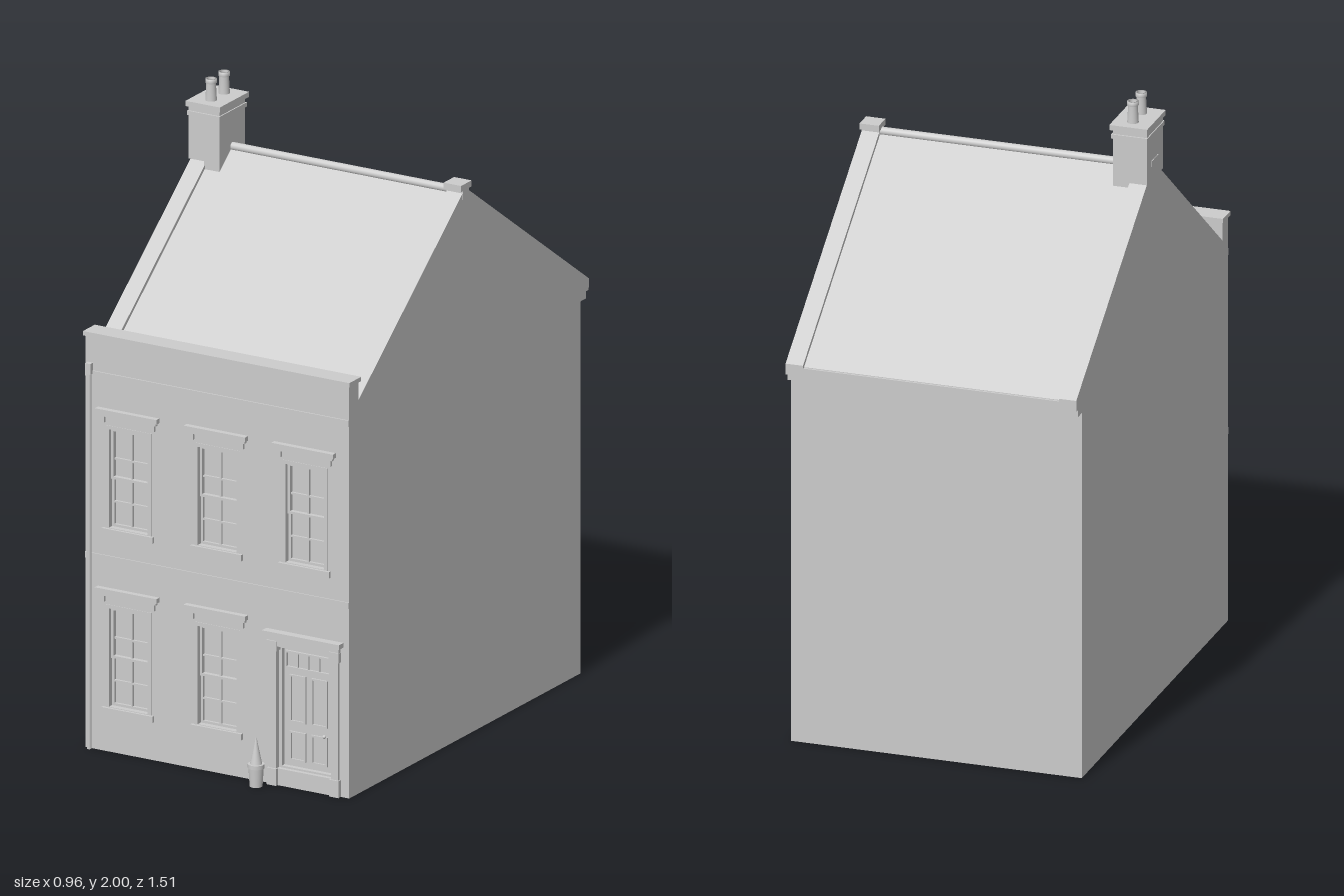
import * as THREE from 'three';

const stone = new THREE.MeshStandardMaterial({ color: 0xcccccc, side: THREE.DoubleSide });
stone.name = 'pale grey';

const HALF = 0.475, FRONT = 0.685, BACK = -0.70, RIDGE = -0.012;

function add(parent, name, geometry) {
  const mesh = new THREE.Mesh(geometry, stone);
  mesh.name = name;
  parent.add(mesh);
  return mesh;
}

// box given by its limits on each axis
function box(parent, name, x0, x1, y0, y1, z0, z1) {
  const g = new THREE.BoxGeometry(x1 - x0, y1 - y0, z1 - z0);
  g.translate((x0 + x1) / 2, (y0 + y1) / 2, (z0 + z1) / 2);
  return add(parent, name, g);
}

function rod(parent, name, r0, r1, x, y0, y1, z, sides = 24) {
  const g = new THREE.CylinderGeometry(r1, r0, y1 - y0, sides);
  g.translate(x, (y0 + y1) / 2, z);
  return add(parent, name, g);
}

const polygon = (pts) => new THREE.Shape(pts.map(([a, b]) => new THREE.Vector2(a, b)));
const rect = (x0, x1, y0, y1) => [[x0, y0], [x1, y0], [x1, y1], [x0, y1]];

// profile of [z, y] points extruded from x0 to x1
function profile(parent, name, pts, x0, x1) {
  const g = new THREE.ExtrudeGeometry(polygon(pts), { depth: x1 - x0, bevelEnabled: false });
  g.rotateY(-Math.PI / 2).translate(x1, 0, 0);
  return add(parent, name, g);
}

// flat ring around an opening
function ring(parent, name, x0, x1, y0, y1, t, z0, z1) {
  const s = polygon(rect(x0, x1, y0, y1));
  s.holes.push(polygon(rect(x0 + t, x1 - t, y0 + t, y1 - t)));
  const g = new THREE.ExtrudeGeometry(s, { depth: z1 - z0, bevelEnabled: false });
  return add(parent, name, g.translate(0, 0, z0));
}

// sash window: x is its centre, y its bottom
function sashWindow(parent, x, y) {
  const w = new THREE.Group();
  w.name = 'sashWindow';
  parent.add(w);
  const x0 = x - 0.082, x1 = x + 0.082, top = y + 0.345, mid = y + 0.168;
  ring(w, 'frame', x0, x1, y, top, 0.012, 0.655, FRONT + 0.002);
  box(w, 'glass', x0 + 0.01, x1 - 0.01, y + 0.01, top - 0.01, 0.655, 0.659);
  ring(w, 'upperSash', x0 + 0.012, x1 - 0.012, mid, top - 0.012, 0.008, 0.659, 0.674);
  ring(w, 'lowerSash', x0 + 0.012, x1 - 0.012, y + 0.012, mid + 0.008, 0.008, 0.659, 0.668);
  box(w, 'verticalBar', x - 0.003, x + 0.003, y + 0.015, top - 0.015, 0.659, 0.667);
  for (const h of [0.09, 0.23]) {
    box(w, 'crossBar', x0 + 0.015, x1 - 0.015, y + h, y + h + 0.006, 0.659, 0.667);
  }
  box(w, 'sill', x - 0.092, x + 0.092, y - 0.01, y + 0.01, 0.67, 0.696);
  box(w, 'hood', x - 0.111, x + 0.111, y + 0.385, y + 0.40, FRONT - 0.005, 0.704);
  box(w, 'hoodMoulding', x - 0.104, x + 0.104, y + 0.375, y + 0.385, FRONT - 0.005, 0.696);
  for (const s of [-1, 1]) {
    box(w, 'hoodBracket', x + s * 0.09 - 0.007, x + s * 0.09 + 0.007, y + 0.355, y + 0.375, FRONT - 0.005, 0.694);
  }
}

function frontDoor(parent) {
  const d = new THREE.Group();
  d.name = 'frontDoor';
  parent.add(d);
  const c = 0.3155;
  for (const s of [-1, 1]) {
    const p = c + s * 0.112;
    box(d, 'pilaster', p - 0.013, p + 0.013, 0.05, 0.44, 0.65, 0.694);
    box(d, 'pilasterBase', p - 0.017, p + 0.017, 0, 0.055, 0.65, 0.70);
    box(d, 'pilasterCapital', p - 0.018, p + 0.018, 0.44, 0.472, 0.65, 0.70);
  }
  box(d, 'lintel', c - 0.128, c + 0.128, 0.455, 0.485, 0.65, 0.696);
  box(d, 'hoodMoulding', c - 0.132, c + 0.132, 0.485, 0.492, FRONT - 0.005, 0.704);
  box(d, 'hood', c - 0.139, c + 0.139, 0.49, 0.505, FRONT - 0.005, 0.713);
  box(d, 'step', c - 0.1, c + 0.1, 0, 0.055, 0.65, 0.69);
  box(d, 'doorLeaf', c - 0.1, c + 0.1, 0.05, 0.46, 0.648, 0.66);
  ring(d, 'doorFrame', c - 0.1, c + 0.1, 0.05, 0.457, 0.011, 0.655, 0.676);
  // light above the door, with its bars
  ring(d, 'topLight', c - 0.083, c + 0.083, 0.38, 0.437, 0.006, 0.66, 0.668);
  for (let i = -1; i <= 1; i++) {
    box(d, 'topLightBar', c + i * 0.039 - 0.002, c + i * 0.039 + 0.002, 0.385, 0.432, 0.66, 0.666);
  }
  // raised panel mouldings
  for (const s of [-1, 1]) {
    const p = c + s * 0.039;
    ring(d, 'lowerPanel', p - 0.029, p + 0.029, 0.08, 0.175, 0.006, 0.66, 0.666);
    ring(d, 'upperPanel', p - 0.029, p + 0.029, 0.205, 0.36, 0.006, 0.66, 0.666);
  }
  const knob = new THREE.SphereGeometry(0.006, 16, 10);
  add(d, 'knob', knob.translate(0.377, 0.18, 0.672));
}

export function createModel() {
  const house = new THREE.Group();
  house.name = 'terracedHouse';

  // front wall with openings
  const windows = [[-0.32, 0.135], [0, 0.135], [-0.32, 0.72], [0, 0.72], [0.316, 0.72]];
  const wall = polygon(rect(-HALF, HALF, 0, 1.345));
  for (const [x, y] of windows) {
    wall.holes.push(polygon(rect(x - 0.08, x + 0.08, y + 0.002, y + 0.343)));
    sashWindow(house, x, y);
  }
  wall.holes.push(polygon(rect(0.216, 0.415, 0.002, 0.457)));
  add(house, 'frontWall', new THREE.ShapeGeometry(wall).translate(0, 0, FRONT));
  frontDoor(house);

  // back wall
  const back = new THREE.PlaneGeometry(2 * HALF, 1.25).rotateY(Math.PI);
  add(house, 'backWall', back.translate(0, 0.625, BACK));

  // gable ends and their copings
  const eaveF = [0.63, 1.285], peak = [RIDGE, 1.79], eaveB = [-0.752, 1.275];
  const drop = 0.03;
  const low = ([z, y]) => [z, y - drop];
  const gable = [[FRONT, 0], [FRONT, 1.285], eaveF, peak, [BACK, 1.311], [BACK, 0]];
  for (const s of [-1, 1]) {
    const g = new THREE.ShapeGeometry(polygon(gable)).rotateY(-Math.PI / 2);
    add(house, 'gableWall', g.translate(s * HALF, 0, 0));
    const x0 = s > 0 ? 0.418 : -HALF, x1 = s > 0 ? HALF : -0.418;
    profile(house, 'coping', [eaveF, peak, eaveB, low(eaveB), low(peak), low(eaveF)], x0, x1);
    profile(house, 'copingFoot', [[BACK, 1.215], [BACK, 1.30], [-0.748, 1.27], [-0.748, 1.245],
      [-0.735, 1.24], [-0.735, 1.215]], x0, x1);
  }
  box(house, 'ridgeBlock', 0.415, 0.478, 1.785, 1.805, -0.043, 0.02);
  box(house, 'ridgeBlockNeck', 0.417, 0.476, 1.755, 1.785, -0.03, 0.006);
  box(house, 'ridgeBlock', -0.478, -0.415, 1.785, 1.805, -0.043, 0.02);

  // roof slopes and ridge roll
  const r = (p, d) => [p[0], p[1] - d];
  profile(house, 'roof', [r(eaveF, 0.014), r(peak, 0.014), [-0.742, 1.267],
    [-0.742, 1.255], r(peak, 0.026), r(eaveF, 0.026)], -0.42, 0.42);
  const roll = new THREE.CylinderGeometry(0.013, 0.013, 0.84, 20).rotateZ(Math.PI / 2);
  add(house, 'ridgeRoll', roll.translate(0, 1.777, RIDGE));

  // back eaves
  box(house, 'eavesCourse', -HALF, HALF, 1.215, 1.24, -0.735, BACK);
  box(house, 'gutter', -HALF, HALF, 1.238, 1.265, -0.75, BACK);

  // parapet, string courses and drainpipe
  box(house, 'parapet', -HALF, HALF, 1.22, 1.346, 0.63, FRONT);
  box(house, 'parapetCap', -0.48, 0.48, 1.346, 1.36, 0.622, 0.693);
  box(house, 'cornice', -HALF, HALF, 1.215, 1.235, FRONT - 0.004, 0.69);
  box(house, 'stringCourse', -HALF, HALF, 0.62, 0.64, FRONT - 0.004, 0.689);
  rod(house, 'drainpipe', 0.0075, 0.0075, -0.458, 0, 1.25, 0.692, 16);
  box(house, 'pipeHopper', -0.468, -0.448, 1.225, 1.26, FRONT - 0.004, 0.702);

  // chimney
  const chimney = new THREE.Group();
  chimney.name = 'chimney';
  house.add(chimney);
  box(chimney, 'stack', -0.476, -0.365, 1.74, 1.918, -0.086, 0.066);
  box(chimney, 'stackFoot', -0.42, -0.365, 1.705, 1.75, -0.086, 0.066);
  box(chimney, 'band', -0.479, -0.361, 1.883, 1.897, -0.092, 0.072);
  box(chimney, 'cap', -0.481, -0.357, 1.913, 1.93, -0.098, 0.077);
  for (const z of [-0.05, 0.028]) {
    const pts = [[0.018, 1.93], [0.015, 1.985], [0.018, 1.987], [0.018, 2], [0.012, 2], [0.012, 1.94], [0, 1.94]];
    const pot = new THREE.LatheGeometry(pts.map(([a, b]) => new THREE.Vector2(a, b)), 24);
    add(chimney, 'chimneyPot', pot.translate(-0.418, 0, z));
  }

  // potted shrub beside the door
  const shrub = new THREE.Group();
  shrub.name = 'pottedShrub';
  house.add(shrub);
  rod(shrub, 'pot', 0.02, 0.024, 0.167, 0, 0.062, 0.731);
  rod(shrub, 'potRim', 0.026, 0.026, 0.167, 0.06, 0.073, 0.731);
  rod(shrub, 'foliage', 0.019, 0.001, 0.167, 0.073, 0.16, 0.731);

  return house;
}
